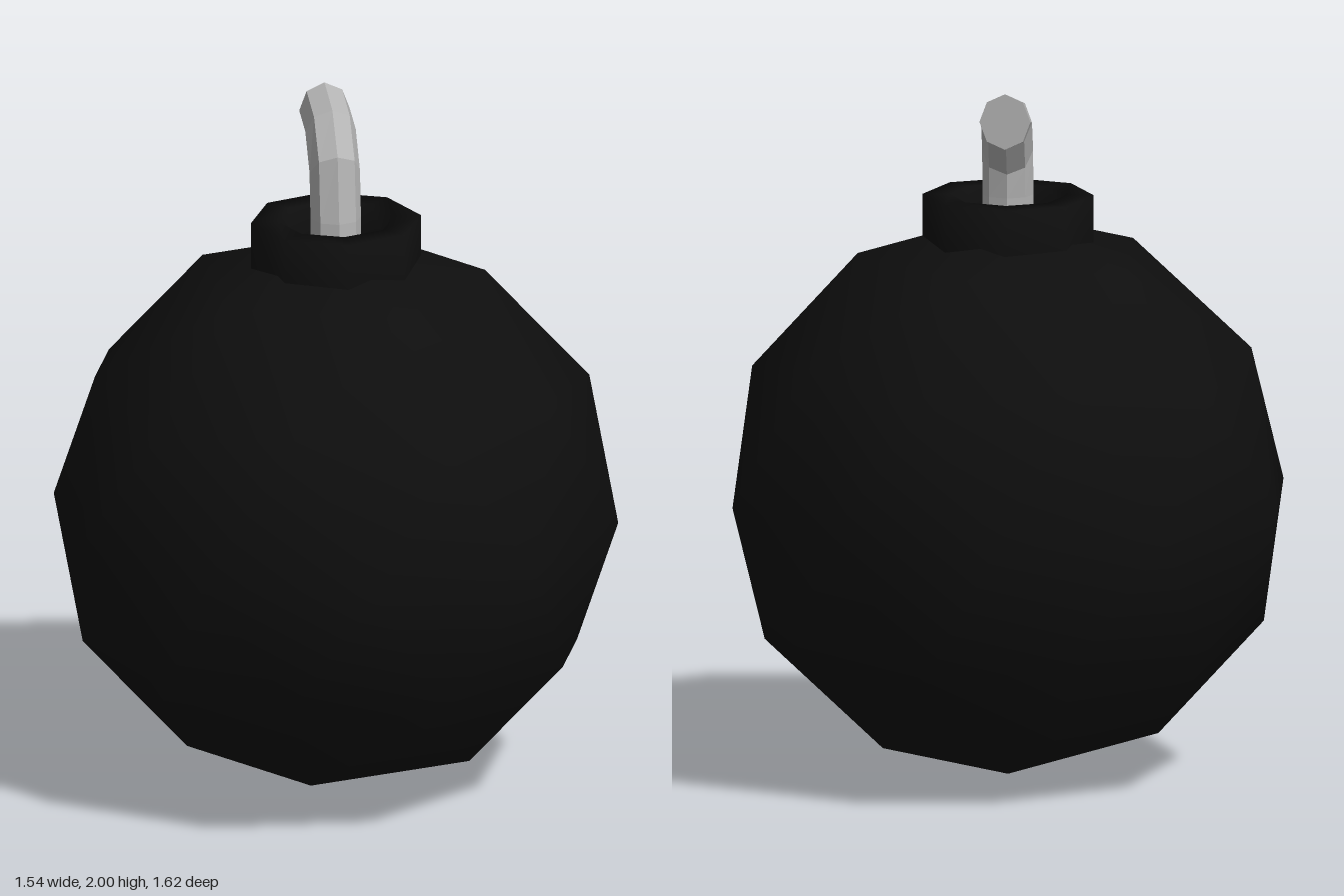
import * as THREE from 'three';

const black = new THREE.MeshStandardMaterial({ color: 0x0e0e0e });
black.name = 'black iron';
const grey = new THREE.MeshStandardMaterial({ color: 0xb4b4b4 });
grey.name = 'grey cord';

// Faceted tube from rings; each ring is [outer z, outer y, inner z, inner y]
function bentTube(rings, halfWidth, sides) {
  const pos = [];
  const ringPoint = ([oz, oy, iz, iy], j) => {
    const a = (j / sides) * Math.PI * 2;
    const c = Math.cos(a) / 2;
    return [Math.sin(a) * halfWidth, (oy + iy) / 2 + (oy - iy) * c, (oz + iz) / 2 + (oz - iz) * c];
  };
  const last = rings[rings.length - 1];
  const tip = [0, (last[1] + last[3]) / 2, (last[0] + last[2]) / 2];
  for (let j = 0; j < sides; j++) {
    for (let i = 0; i < rings.length - 1; i++) {
      const a = ringPoint(rings[i], j), b = ringPoint(rings[i], j + 1);
      const c = ringPoint(rings[i + 1], j + 1), d = ringPoint(rings[i + 1], j);
      pos.push(...a, ...b, ...c, ...a, ...c, ...d);
    }
    pos.push(...tip, ...ringPoint(last, j), ...ringPoint(last, j + 1)); // end cap
  }
  const geo = new THREE.BufferGeometry();
  geo.setAttribute('position', new THREE.Float32BufferAttribute(pos, 3));
  geo.computeVertexNormals(); // unshared corners give flat facets
  return geo;
}

export function createModel() {
  const model = new THREE.Group();
  model.name = 'roundBomb';
  const add = (name, geometry, material) => {
    const mesh = new THREE.Mesh(geometry, material);
    mesh.name = name;
    model.add(mesh);
  };

  // Body: smooth icosphere standing on one of its corners
  const radius = 0.808;
  const ball = new THREE.IcosahedronGeometry(radius, 1);
  ball.rotateZ(-Math.atan(2 / (1 + Math.sqrt(5))));
  ball.translate(0, radius, 0);
  add('body', ball, black);

  // Collar: open octagonal ring around the fuse
  const profile = [[0.242, 1.5], [0.242, 1.667], [0.165, 1.667], [0.165, 1.54]];
  add('collar', new THREE.LatheGeometry(profile.map(([r, y]) => new THREE.Vector2(r, y)), 8), black);

  // Fuse: octagonal cord bending towards the back
  add('fuse', bentTube([
    [0.07, 1.56, -0.072, 1.56],
    [0.064, 1.67, -0.075, 1.67],
    [0.032, 1.86, -0.08, 1.74],
    [-0.069, 1.967, -0.143, 1.825],
    [-0.223, 2.0, -0.223, 1.84],
  ], 0.072, 8), grey);

  return model;
}
